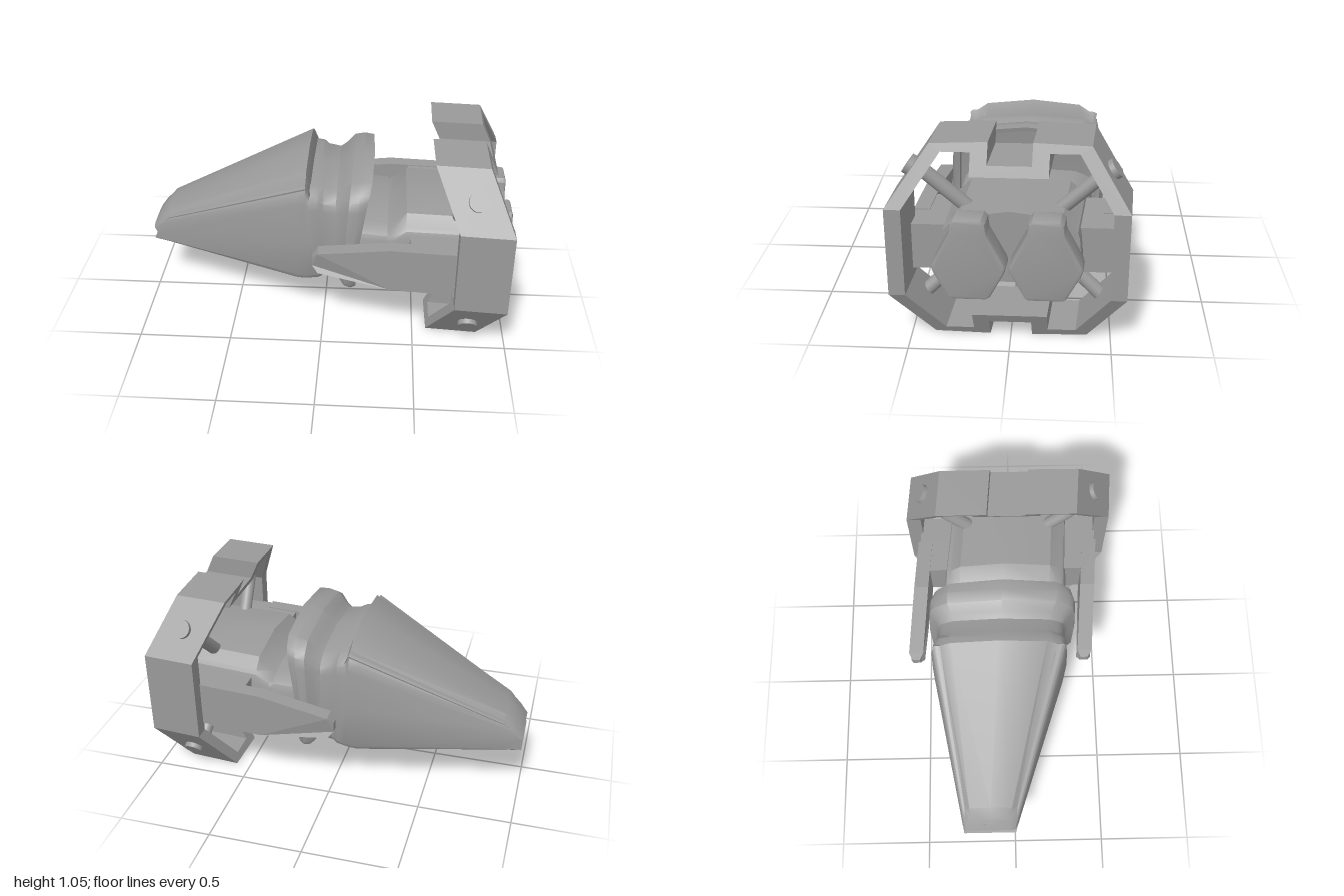
import * as THREE from 'three';
import { toCreasedNormals } from 'three/addons/utils/BufferGeometryUtils.js';

const mat = new THREE.MeshStandardMaterial({ color: 0x9a9a9a });
const lerp = THREE.MathUtils.lerp;

// Cross-section at x: half width w, bottom yb, shoulder ye, ridge yt; the top leans back by lean
function section([x, w, yb, ye, yt, lean = 0]) {
  const half = [
    [0.95 * w, yb], [0.99 * w, lerp(yb, ye, 0.05)], [w, lerp(yb, ye, 0.45)],
    [0.97 * w, lerp(yb, ye, 0.85)], [0.94 * w, lerp(yb, ye, 0.95)], [0.88 * w, ye],
    [0.72 * w, lerp(ye, yt, 0.6)],
  ];
  const loop = [[0, yb], ...half, [0, yt], ...half.slice().reverse().map(([z, y]) => [-z, y])];
  return loop.map(([z, y]) => {
    // The foremost section has a bite between its upper and lower lip
    const bite = x < -0.99 ? 0.033 * Math.max(0, 1 - Math.abs(y - 0.352) / 0.035) : 0;
    return [x + bite + lean * ((y - yb) / (yt - yb)) ** 2, y, z];
  });
}

// Skin over a row of sections, closed at both ends
function loft(rows) {
  const rings = rows.map(section), n = rings[0].length, pos = rings.flat(2), idx = [];
  for (let i = 0; i < rings.length - 1; i++) {
    for (let j = 0; j < n; j++) {
      const a = i * n + j, b = i * n + (j + 1) % n;
      idx.push(a, a + n, b + n, a, b + n, b);
    }
  }
  [0, rings.length - 1].forEach((r, end) => {
    const c = pos.length / 3;
    for (let k = 0; k < 3; k++) pos.push(rings[r].reduce((s, p) => s + p[k], 0) / n);
    for (let j = 0; j < n; j++) {
      const a = r * n + j, b = r * n + (j + 1) % n;
      idx.push(...(end ? [c, b, a] : [c, a, b]));
    }
  });
  const g = new THREE.BufferGeometry();
  g.setAttribute('position', new THREE.Float32BufferAttribute(pos, 3));
  g.setIndex(idx);
  return toCreasedNormals(g, 0.6);
}

const outline = (pts) => pts.map(([a, b]) => new THREE.Vector2(a, b));
const mirrored = (pts) => outline([...pts, ...pts.slice().reverse().map(([a, b]) => [-a, b])]);

// Moves each vertex by a rule and refreshes the normals
function reshape(g, rule) {
  const p = g.attributes.position, v = new THREE.Vector3();
  for (let i = 0; i < p.count; i++) {
    rule(v.fromBufferAttribute(p, i));
    p.setXYZ(i, v.x, v.y, v.z);
  }
  g.computeVertexNormals();
  return g;
}

export function createModel() {
  const model = new THREE.Group();
  model.name = 'spacecraft';
  // Every part is sheared a little sideways along its length
  const skew = new THREE.Matrix4().set(1, 0, 0, 0, 0, 1, 0, 0, 0.075, 0, 1, -0.065, 0, 0, 0, 1);
  const add = (name, g) => {
    const mesh = new THREE.Mesh(g.applyMatrix4(skew), mat);
    mesh.name = name;
    model.add(mesh);
  };
  const box = (name, x0, x1, y0, y1, z0, z1) =>
    add(name, new THREE.BoxGeometry(x1 - x0, y1 - y0, Math.abs(z1 - z0))
      .translate((x0 + x1) / 2, (y0 + y1) / 2, (z0 + z1) / 2));
  const rod = (name, a, b, r) => {
    const p = new THREE.Vector3(...a), q = new THREE.Vector3(...b), d = q.clone().sub(p);
    const g = new THREE.CylinderGeometry(r, r, d.length(), 24);
    g.applyQuaternion(new THREE.Quaternion()
      .setFromUnitVectors(new THREE.Vector3(0, 1, 0), d.clone().normalize()));
    p.add(q).multiplyScalar(0.5);
    add(name, g.translate(p.x, p.y, p.z));
  };

  // Nose with a notched tip, ribbed collar and dished rear face
  add('noseAndCollar', loft([
    [-0.965, 0.14, 0.35, 0.355, 0.36],
    [-1, 0.145, 0.315, 0.385, 0.4],
    [-0.96, 0.153, 0.313, 0.43, 0.46],
    [-0.9, 0.168, 0.311, 0.475, 0.515],
    [-0.145, 0.366, 0.265, 0.815, 0.875],
    [-0.095, 0.377, 0.272, 0.835, 0.9],
    [-0.075, 0.377, 0.276, 0.79, 0.83],
    [-0.03, 0.375, 0.282, 0.785, 0.83],
    [0, 0.358, 0.29, 0.765, 0.822],
    [0.06, 0.358, 0.295, 0.755, 0.81, 0.01],
    [0.085, 0.375, 0.29, 0.775, 0.835, 0.02],
    [0.115, 0.41, 0.265, 0.81, 0.88, 0.035],
    [0.15, 0.414, 0.255, 0.82, 0.892, 0.06],
    [0.18, 0.395, 0.258, 0.82, 0.892, 0.085],
    [0.18, 0.37, 0.28, 0.8, 0.87, 0.08],
    [0.16, 0.365, 0.285, 0.795, 0.865, 0.07],
  ]));
  // Canopy lid with a thin lip along the nose
  add('canopy', loft([
    [-0.975, 0.139, 0.395, 0.41, 0.44],
    [-0.9, 0.159, 0.465, 0.482, 0.53],
    [-0.095, 0.355, 0.825, 0.85, 0.915],
    [-0.07, 0.345, 0.78, 0.79, 0.825],
  ]));

  // Neck and barrel-topped engine body
  add('neck', loft([
    [0.14, 0.355, 0.31, 0.59, 0.63],
    [0.345, 0.353, 0.31, 0.58, 0.62],
  ]));
  add('engineBody', loft([
    [0.34, 0.345, 0.33, 0.57, 0.6],
    [0.365, 0.355, 0.325, 0.58, 0.61],
    [0.445, 0.355, 0.325, 0.62, 0.71],
    [0.88, 0.345, 0.325, 0.62, 0.71],
  ]));

  // Frame of rails under the body
  for (const s of [-1, 1]) box('bellyRail', 0.35, 0.78, 0.305, 0.35, s * 0.27 - 0.05, s * 0.27 + 0.05);
  for (const x of [0.35, 0.72]) box('bellyCrossbar', x, x + 0.06, 0.307, 0.34, -0.25, 0.25);

  // Notched ring, swept forward above and below its upright sides
  const ring = new THREE.Shape(mirrored([
    [0.105, 0.95], [0.105, 1.05], [0.38, 1.04], [0.575, 0.755],
    [0.575, 0.295], [0.38, 0.01], [0.105, 0], [0.105, 0.1],
  ]));
  ring.holes.push(new THREE.Path(mirrored([
    [0.185, 0.9], [0.185, 1.005], [0.325, 1.005], [0.495, 0.755],
    [0.495, 0.295], [0.325, 0.045], [0.185, 0.045], [0.185, 0.15],
  ]).reverse()));
  const band = new THREE.ExtrudeGeometry(ring, { depth: 0.275, bevelEnabled: false })
    .rotateY(Math.PI / 2).translate(0.705, 0, 0);
  add('ring', reshape(band, (v) => {
    v.x -= 0.135 * Math.max(0, Math.abs(v.y - 0.525) - 0.23) / 0.295;
  }));

  // Hexagonal engine outlet, narrower at the top
  const outlet = new THREE.Shape(mirrored([
    [0.066, 0.72], [0.084, 0.7], [0.09, 0.645], [0.172, 0.485], [0.178, 0.46], [0.17, 0.435],
    [0.1, 0.3], [0.085, 0.29],
  ]));
  // Side arm seen from the side
  const arm = new THREE.Shape(outline([
    [-0.05, 0.455], [-0.02, 0.42], [0.36, 0.35], [0.645, 0.345],
    [0.645, 0.595], [0.36, 0.595], [-0.02, 0.54], [-0.05, 0.505],
  ]));

  for (const s of [-1, 1]) {
    const engine = new THREE.ExtrudeGeometry(outlet, {
      depth: 0.09, bevelThickness: 0.015, bevelSize: 0.015, bevelOffset: -0.015, bevelSegments: 2,
    });
    add('engineOutlet', toCreasedNormals(
      engine.rotateY(Math.PI / 2).translate(0.895, 0, s * 0.184), 0.5));

    // Arm with a tip that thins towards the front
    const slab = new THREE.ExtrudeGeometry(arm, { depth: 0.08, bevelEnabled: false })
      .translate(0, 0, -0.04);
    add('sideArm', reshape(slab, (v) => {
      if (v.x < -0.03) v.z *= 0.5;
      v.z += s * 0.475;
    }));
    box('armMount', 0.465, 0.645, 0.35, 0.59, s * 0.32, s * 0.48);
    box('ringMount', 0.63, 0.8, 0.345, 0.59, s * 0.32, s * 0.505);

    // Diagonal struts and their bolt heads, above and below
    for (const v of [-1, 1]) {
      const at = (x, h, z) => [x, 0.525 + v * h, s * z];
      rod('strut', at(0.75, 0.355, 0.46), at(0.72, 0.13, 0.23), 0.036);
      rod('bolt', at(0.79, 0.365, 0.465), at(0.79, 0.388, 0.498), 0.051);
    }
  }
  return model;
}
